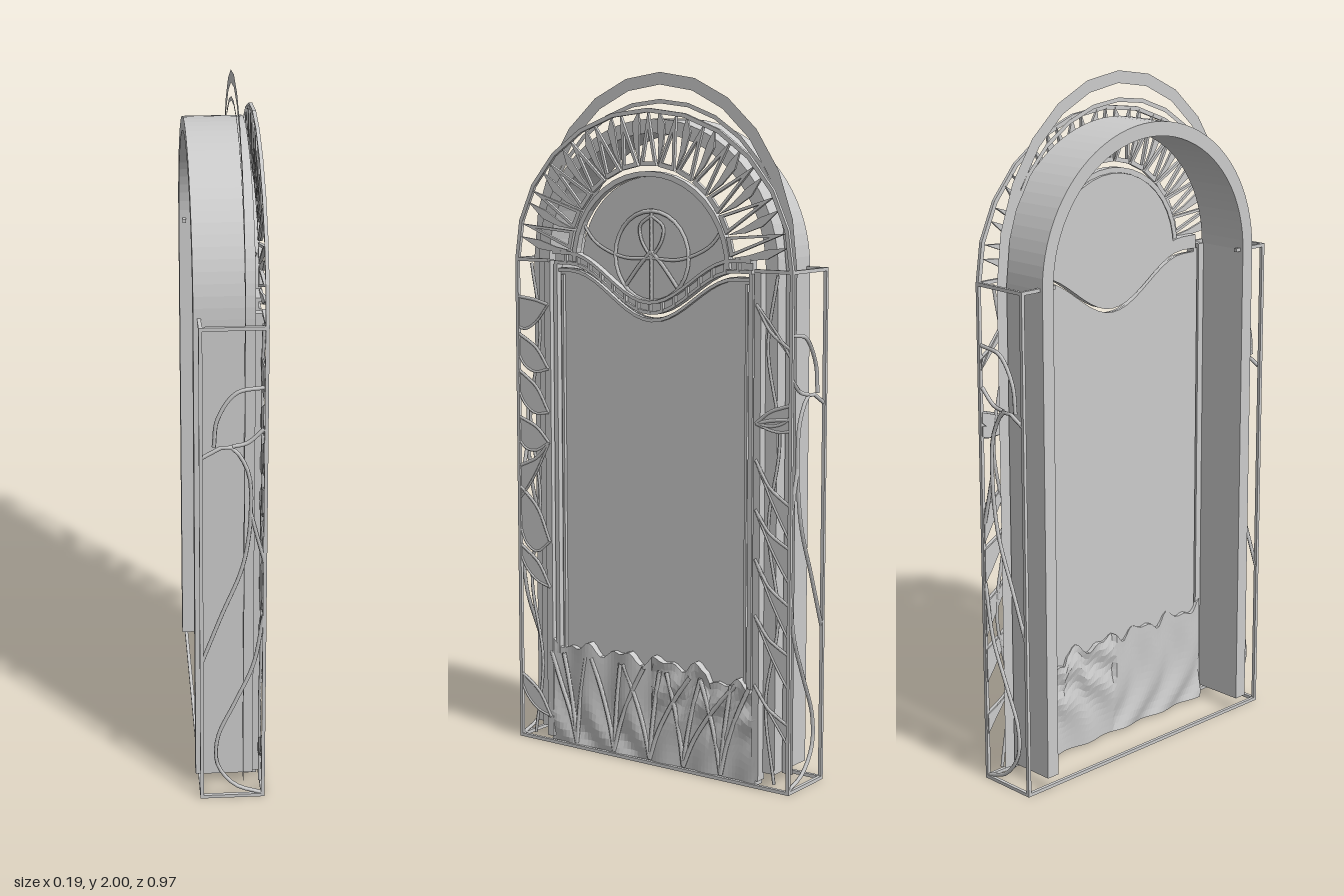
import * as THREE from 'three';

const CY = 1.46; // springing height of all arches

// Inside the group: X runs across the panel, Y up, Z is depth; the group is then turned to face +x.
export function createModel() {
  const root = new THREE.Group();
  root.name = 'archedPanel';
  const body = new THREE.Group();
  body.name = 'panelBody';
  body.rotation.y = Math.PI / 2;
  root.add(body);

  const smooth = new THREE.MeshStandardMaterial({ color: 0xcccccc, side: THREE.DoubleSide });
  const flat = new THREE.MeshStandardMaterial({ color: 0xcccccc, side: THREE.DoubleSide, flatShading: true });

  const add = (name, geo, mat = flat) => {
    const m = new THREE.Mesh(geo, mat);
    m.name = name;
    body.add(m);
  };
  const box = (name, x0, x1, y0, y1, z0, z1) =>
    add(name, new THREE.BoxGeometry(x1 - x0, y1 - y0, z1 - z0)
      .translate((x0 + x1) / 2, (y0 + y1) / 2, (z0 + z1) / 2));
  const plate = (name, shape, z0, z1) =>
    add(name, new THREE.ExtrudeGeometry(shape, { depth: z1 - z0, bevelEnabled: false }).translate(0, 0, z0));
  const tube = (name, pts, r, z, n = 16) =>
    add(name, new THREE.TubeGeometry(new THREE.CatmullRomCurve3(
      pts.map(p => new THREE.Vector3(p[0], p[1], p[2] ?? z))), n, r, 5), smooth);
  const polygon = pts => new THREE.Shape(pts.map(p => new THREE.Vector2(p[0], p[1])));
  const arc = (rx, ry, n) => Array.from({ length: n + 1 }, (_, i) => {
    const a = Math.PI * i / n;
    return [rx * Math.cos(a), CY + ry * Math.sin(a)];
  });
  // Strip between two elliptical arcs, with optional straight legs down to foot
  const strip = (rx, ry, w, n, foot = CY) => polygon([[rx, foot], ...arc(rx, ry, n), [-rx, foot],
    [w - rx, foot], ...arc(rx - w, ry - w, n).reverse(), [rx - w, foot]]);

  // Deep arched casing, open at front and back
  plate('archCasing', strip(0.418, 0.41, 0.04, 40, 0.04), -0.1, 0.065);

  // Thin halo strips above the casing, running down its sides
  add('outerHalo', new THREE.ShapeGeometry(strip(0.46, 0.54, 0.035, 12, 0.04)).translate(0, 0, 0.035));
  add('innerHalo', new THREE.ShapeGeometry(strip(0.44, 0.465, 0.012, 14)).translate(0, 0, 0.035));

  // Wire box around the lower part
  const e = 0.01;
  for (const s of [-1, 1]) {
    const lo = Math.min(s * 0.484, s * (0.484 - e)), hi = lo + e;
    for (const z of [-0.09, 0.085]) box('cornerPost', lo, hi, 0, CY + 0.005, z, z + e);
    for (const y of [0, CY - 0.005]) box('sideRail', lo, hi, y, y + e, -0.09, 0.095);
    const a = s * 0.484, b = s * 0.36;
    box('topFrontStub', Math.min(a, b), Math.max(a, b), CY - 0.005, CY + 0.005, 0.085, 0.095);
    box('topBackStub', Math.min(a, b), Math.max(a, b), CY - 0.005, CY + 0.005, -0.09, -0.08);
  }
  box('bottomFrontRail', -0.48, 0.48, 0, e, 0.085, 0.095);
  box('bottomBackRail', -0.48, 0.48, 0, e, -0.09, -0.08);

  // Main panel with a dipped top edge
  const dip = x => 1.375 - 0.065 * Math.cos(Math.PI * Math.min(Math.abs(x) / 0.29, 1));
  const wave = (w, off) => Array.from({ length: 25 }, (_, i) => {
    const x = w - 2 * w * i / 24;
    return [x, dip(x) + off];
  });
  plate('mainPanel', polygon([[-0.35, 0.25], [0.35, 0.25], ...wave(0.35, 0)]), 0.058, 0.066);

  // Mouldings over the dip, with small dividing blocks
  for (const [off, h, d] of [[-0.012, 0.01, 0.078], [0.01, 0.01, 0.085], [0.04, 0.01, 0.092]])
    plate('dipMoulding', polygon([...wave(0.345, off), ...wave(0.345, off + h).reverse()]), 0.06, d);
  plate('dipInfill', polygon([...wave(0.345, 0.01), ...wave(0.345, 0.045).reverse()]), 0.06, 0.078);
  for (let i = -7; i <= 7; i++) {
    const x = i * 0.043, y = dip(x);
    box('dipBlock', x - 0.004, x + 0.004, y + 0.015, y + 0.045, 0.06, 0.088);
  }

  // Upright mouldings beside the panel
  for (const s of [-1, 1])
    for (const [x, w, y0, y1, d] of [[0.322, 0.008, 0.28, 1.42, 0.076], [0.342, 0.014, 0.28, 1.45, 0.084],
      [0.368, 0.022, 0.02, 1.46, 0.09]])
      box('uprightMoulding', s * x - w / 2, s * x + w / 2, y0, y1, 0.058, d);

  // Half disc and emblem above the dip
  plate('sunDisc', polygon([...arc(0.25, 0.25, 20), ...wave(0.25, 0.03).reverse()]), 0.06, 0.07);
  plate('sunRing', strip(0.275, 0.265, 0.015, 20), 0.068, 0.09);
  add('emblemRing', new THREE.TorusGeometry(0.128, 0.006, 6, 28).translate(0, 1.485, 0.075), smooth);
  tube('emblemStem', [[0, 1.62], [0, 1.54], [0, 1.36]], 0.006, 0.075);
  for (const s of [-1, 1]) {
    tube('emblemArm', [[s * 0.25, 1.58], [s * 0.2, 1.52], [s * 0.1, 1.48], [0, 1.48]], 0.005, 0.075);
    tube('emblemLeg', [[0, 1.5], [s * 0.04, 1.46], [s * 0.09, 1.4]], 0.006, 0.075);
    tube('emblemLoop', [[0, 1.6], [s * 0.04, 1.57], [s * 0.035, 1.53], [0, 1.48]], 0.005, 0.075);
  }

  // Sunburst: outlined rays with curved solid flames between, under a faceted arch
  plate('sunburstArch', strip(0.484, 0.44, 0.012, 12), 0.085, 0.095);
  const rays = 14;
  for (let i = 0; i <= rays * 2; i++) {
    const a = Math.PI * i / rays / 2;
    const reach = 0.47 * Math.cos(a) ** 2 + 0.432 * Math.sin(a) ** 2;
    const at = (r, da) => [r * Math.cos(a + da), Math.max(CY, CY + r * Math.sin(a + da))];
    if (i % 2 === 0 && i > 0 && i < rays * 2) {
      const ray = polygon([at(0.28, 0.1), at(0.28, -0.1), at(reach, 0)]);
      ray.holes.push(new THREE.Path([at(0.292, 0.062), at(reach - 0.05, 0), at(0.292, -0.062)]
        .map(p => new THREE.Vector2(...p))));
      plate('outlinedRay', ray, 0.083, 0.093);
    } else if (i % 2) {
      const bend = a < Math.PI / 2 ? 1 : -1; // flames curl towards the crown
      plate('solidFlame', polygon([at(0.285, 0), at(0.34, -0.035 * bend), at(0.4, -0.03 * bend),
        at(reach, 0.03 * bend), at(0.4, 0.035 * bend), at(0.34, 0.01 * bend)]), 0.083, 0.09);
    }
  }

  // Carved root bank at the foot: ragged top, rippled faces
  const bank = new THREE.BoxGeometry(0.74, 1, 0.035, 60, 14, 2);
  const p = bank.attributes.position;
  for (let i = 0; i < p.count; i++) {
    const x = p.getX(i), t = p.getY(i) + 0.5, z = p.getZ(i);
    const top = 0.305 + 0.012 * Math.sin(x * 47) + 0.01 * Math.sin(x * 83 + 1) - 0.025 * (x > 0.2 ? 1 : 0);
    const ripple = Math.sin((x - 0.25 * t * (x > 0 ? 1 : -0.6)) * 40 + 2 * Math.sin(t * 4));
    p.setXYZ(i, x, 0.005 + t * top, 0.067 + z + 0.006 * ripple);
  }
  bank.computeVertexNormals();
  add('rootBank', bank);

  // Raised roots fanning out of a few points along the foot
  const limit = v => Math.max(-0.365, Math.min(0.365, v));
  for (const [foot, spread] of [[-0.27, [-0.09, -0.04, 0.03]], [-0.13, [-0.07, 0.02, 0.09]],
    [0, [-0.08, 0.03, 0.12]], [0.12, [-0.05, 0.05, 0.15]], [0.25, [-0.06, 0.03, 0.08]]])
    for (const d of spread)
      tube('rootRidge', [[foot, 0.015], [limit(foot + d * 0.25), 0.1], [limit(foot + d * 0.7), 0.2],
        [limit(foot + d * 1.2), 0.285]], 0.007, 0.087);

  // Leaves in the front margins, each with a raised outline
  const leaf = (s, y, drop, w) => {
    const q = (x, yy) => [s * x, yy];
    const upper = [q(0.48, y), q(0.45, y - drop * 0.15), q(0.41, y - drop * 0.4), q(0.365, y - drop)];
    const lower = [q(0.48, y - w), q(0.455, y - w - drop * 0.35), q(0.415, y - w * 0.7 - drop * 0.7)];
    plate('marginLeaf', polygon([...upper, ...lower.slice().reverse()]), 0.082, 0.09);
    tube('leafRim', upper, 0.005, 0.09, 10);
    tube('leafVein', [...lower, upper[3]], 0.004, 0.09, 10);
  };
  for (const [y, d, w] of [[1.35, 0.02, 0.09], [1.24, 0.1, 0.06], [1.13, 0.12, 0.06], [0.99, 0.07, 0.07],
    [0.84, -0.08, 0.1], [0.78, 0.16, 0.12], [0.6, 0.12, 0.03], [0.2, 0.12, 0.03]]) leaf(-1, y, d, w);
  for (const [y, d, w] of [[1.25, -0.12, 0.03], [1.1, 0.06, 0.03], [1.06, 0.02, 0.03], [0.82, -0.12, 0.1],
    [0.7, -0.1, 0.1], [0.54, -0.12, 0.1], [0.4, -0.1, 0.1], [0.2, -0.1, 0.06]]) leaf(1, y, d, w);
  for (const s of [-1, 1])
    tube('marginStem', [[s * 0.43, 0.02], [s * 0.4, 0.25], [s * 0.44, 0.5], [s * 0.405, 0.75],
      [s * 0.44, 1], [s * 0.4, 1.25], [s * 0.43, 1.45]], 0.005, 0.085, 40);

  // Vines on the two open sides, given as [depth, height]
  const vines = [
    [[-0.085, 0.45], [-0.03, 0.6], [0.03, 0.76], [0.05, 0.92], [0.04, 1.05], [-0.01, 1.12], [-0.08, 1.09]],
    [[-0.05, 1.12], [-0.04, 1.2], [0.01, 1.275], [0.085, 1.29]],
    [[0.0, 1.12], [0.04, 1.13], [0.085, 1.17]],
    [[0.05, 0.92], [0.07, 0.84], [0.088, 0.77]],
    [[0.088, 0.6], [0.06, 0.44], [0.01, 0.32], [-0.04, 0.2], [-0.04, 0.11], [0.01, 0.04], [0.085, 0.01]],
  ];
  for (const s of [-1, 1])
    for (const v of vines) tube('sideVine', v.map(([d, y]) => [s * 0.477, y, d]), 0.006, 0, 28);

  return root;
}
